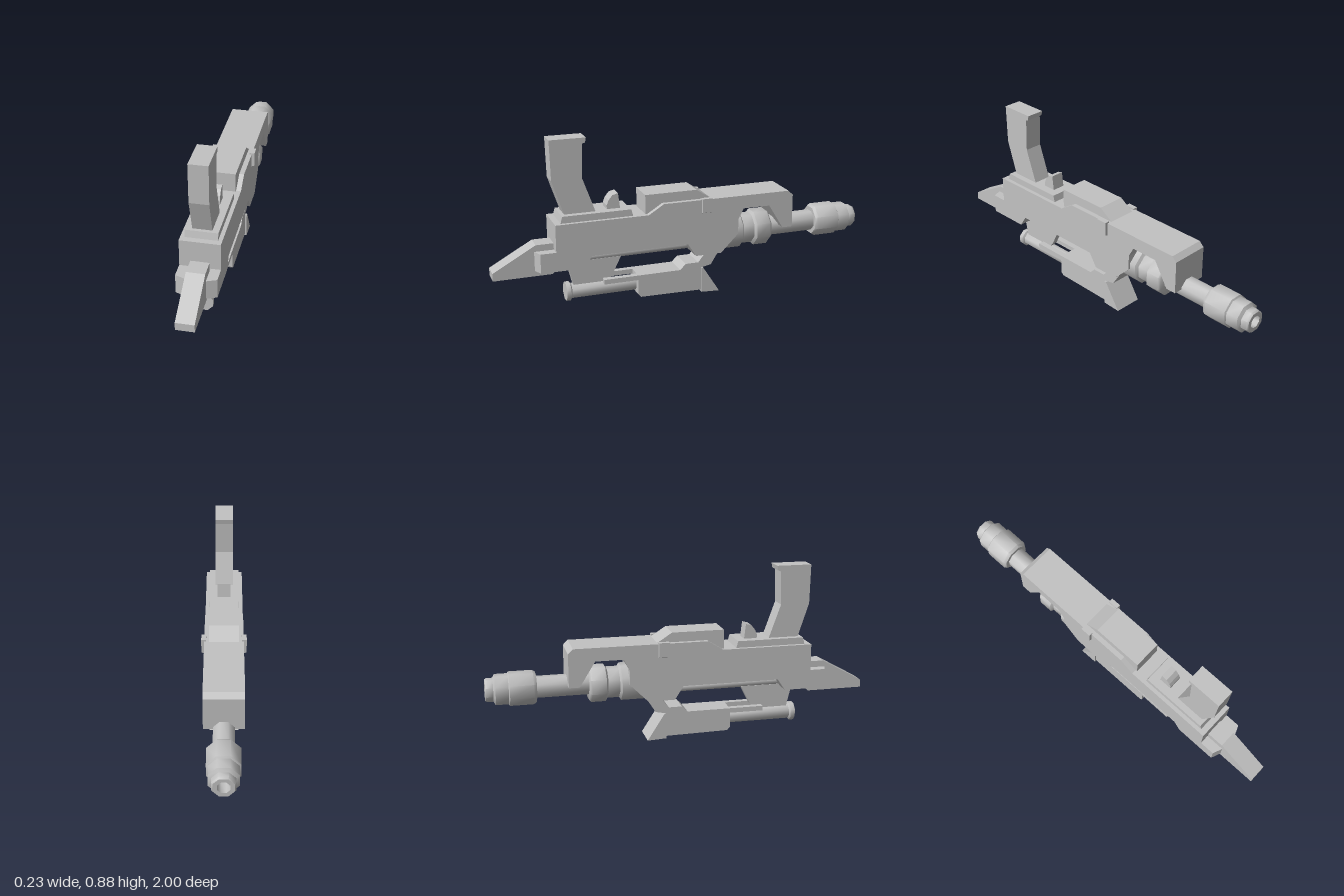
import * as THREE from 'three';
import { toCreasedNormals } from 'three/addons/utils/BufferGeometryUtils.js';

export function createModel() {
  const root = new THREE.Group();
  root.name = 'blaster';
  const grey = new THREE.MeshStandardMaterial({ color: 0xc2c2c2 });
  grey.name = 'light grey';

  const add = (name, geometry) => {
    const mesh = new THREE.Mesh(geometry, grey);
    mesh.name = name;
    root.add(mesh);
    return mesh;
  };

  // Side profile of [z, y] points, extruded from x0 to x1
  const slab = (name, points, x0, x1) => {
    const shape = new THREE.Shape(points.map(([z, y]) => new THREE.Vector2(z, y)));
    const g = new THREE.ExtrudeGeometry(shape, { depth: x1 - x0, bevelEnabled: false });
    g.rotateY(-Math.PI / 2).translate(x1, 0, 0);
    return add(name, g);
  };
  const centred = (name, halfWidth, points) => slab(name, points, -halfWidth, halfWidth);

  // Eight-sided turned part along z, profile of [radius to flat, z] from back to front
  const turned = (name, y, profile) => {
    const k = 1 / Math.cos(Math.PI / 8);
    const g = new THREE.LatheGeometry(profile.map(([r, z]) => new THREE.Vector2(r * k, z)), 8, Math.PI / 8);
    g.rotateX(Math.PI / 2).translate(0, y, 0);
    return add(name, toCreasedNormals(g, 0.82));
  };

  // Receiver with the long hooked hood over the barrel
  centred('receiver', 0.1, [
    [0.69, 0.47], [0.21, 0.47], [0.13, 0.52], [-0.565, 0.52], [-0.59, 0.495],
    [-0.59, 0.32], [-0.535, 0.32], [-0.455, 0.45], [-0.31, 0.45], [-0.28, 0.395],
    [-0.28, 0.315], [-0.185, 0.22], [-0.045, 0.22], [0, 0.29], [0.51, 0.29],
    [0.55, 0.23], [0.69, 0.23],
  ]);
  centred('topCover', 0.075, [[0.22, 0.46], [0.22, 0.57], [-0.055, 0.57], [-0.14, 0.515], [-0.14, 0.46]]);
  centred('topPlate', 0.08, [[0.66, 0.465], [0.65, 0.505], [0.295, 0.505], [0.285, 0.465]]);

  // Upright grip and trigger
  centred('grip', 0.048, [
    [0.695, 0.885], [0.51, 0.885], [0.515, 0.86], [0.53, 0.855], [0.535, 0.68],
    [0.47, 0.5], [0.63, 0.5], [0.69, 0.68],
  ]);
  centred('trigger', 0.035, [[0.41, 0.5], [0.41, 0.525], [0.4, 0.55], [0.38, 0.575], [0.35, 0.583], [0.34, 0.5]]);

  // Wedge stock
  centred('stock', 0.046, [[1, 0.2], [1, 0.24], [0.78, 0.362], [0.66, 0.362], [0.66, 0.235], [0.7, 0.2]]);

  // Mirrored cheeks, side catches and lower rails
  for (const s of [1, -1]) {
    const side = s > 0 ? 'left' : 'right';
    const outline = [[0.05, 0.68], [0.1, 0.68], [0.1, 0.77], [0.05, 0.79]];
    const shape = new THREE.Shape(outline.map(([x, z]) => new THREE.Vector2(s * x, -z)));
    const cheek = new THREE.ExtrudeGeometry(shape, { depth: 0.1, bevelEnabled: false });
    add(side + 'Cheek', cheek.rotateX(-Math.PI / 2).translate(0, 0.23, 0));

    const catchShape = new THREE.Shape([[0.09, 0.445], [0.115, 0.455], [0.115, 0.528], [0.09, 0.528]]
      .map(([x, y]) => new THREE.Vector2(s * x, y)));
    const catchGeo = new THREE.ExtrudeGeometry(catchShape, { depth: 0.055, bevelEnabled: false });
    add(side + 'Catch', catchGeo.translate(0, 0, -0.13));

    const rail = new THREE.BoxGeometry(0.032, 0.025, 0.2);
    add(side + 'Rail', rail.translate(s * 0.051, 0.1275, 0.34));
  }

  // Barrel, stepped sleeve and hollow muzzle
  turned('barrelSleeve', 0.31, [
    [0, -0.48], [0.08, -0.48], [0.09, -0.47], [0.09, -0.395], [0.075, -0.385],
    [0.075, -0.325], [0.09, -0.315], [0.09, -0.17], [0, -0.17],
  ]);
  turned('barrel', 0.31, [[0.052, -0.77], [0.052, -0.45]]);
  turned('muzzle', 0.31, [
    [0, -0.93], [0.03, -0.93], [0.03, -1], [0.05, -1], [0.056, -0.99], [0.056, -0.96],
    [0.073, -0.95], [0.073, -0.885], [0.081, -0.88], [0.081, -0.76], [0.072, -0.745], [0, -0.745],
  ]);
  turned('gasRod', 0.256, [[0, -0.1], [0.021, -0.1], [0.021, 0.56], [0, 0.56]]);

  // Lower assembly hung under the receiver
  centred('rearBracket', 0.016, [[0.62, 0.24], [0.585, 0.1], [0.42, 0.1], [0.385, 0.14], [0.335, 0.24]]);
  centred('lowerHousing', 0.067, [
    [0.26, 0.14], [0.03, 0.14], [0, 0.17], [-0.07, 0.17], [-0.11, 0.22], [-0.185, 0.22],
    [-0.14, 0.15], [-0.09, 0.14], [-0.09, 0.015], [0.245, 0.02], [0.26, 0.035],
  ]);
  centred('flaredFoot', 0.076, [[-0.085, 0.14], [-0.095, 0.14], [-0.185, 0], [-0.085, 0.005]]);
  turned('lowerTube', 0.08, [
    [0, 0.24], [0.036, 0.24], [0.036, 0.6], [0.046, 0.607], [0.046, 0.63], [0, 0.63],
  ]);
  return root;
}
